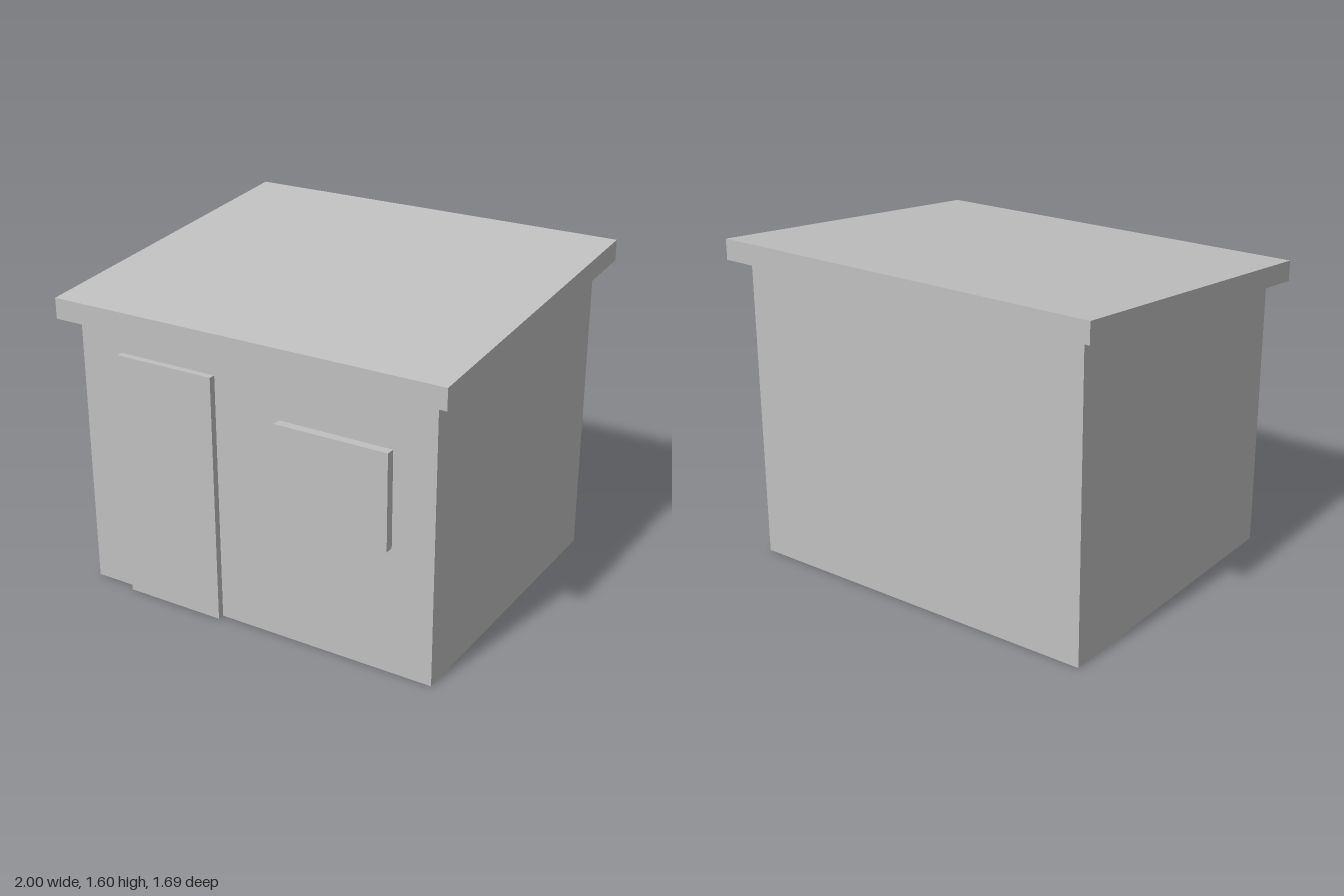
import * as THREE from 'three';

// Extrudes a side profile of [z, y] points across x, centred on x = 0
function sideExtrusion(points, width) {
  const shape = new THREE.Shape(points.map(([z, y]) => new THREE.Vector2(z, y)));
  const geometry = new THREE.ExtrudeGeometry(shape, { depth: width, bevelEnabled: false });
  return geometry.translate(0, 0, -width / 2).rotateY(-Math.PI / 2);
}

// Box given by its lower and upper limits on each axis
function boxBetween([x0, x1], [y0, y1], [z0, z1]) {
  return new THREE.BoxGeometry(x1 - x0, y1 - y0, z1 - z0)
    .translate((x0 + x1) / 2, (y0 + y1) / 2, (z0 + z1) / 2);
}

export function createModel() {
  const group = new THREE.Group();
  group.name = 'shed';
  const grey = new THREE.MeshStandardMaterial({ color: 0xc0c0c0 });
  grey.name = 'light grey';

  const add = (name, geometry) => {
    const mesh = new THREE.Mesh(geometry, grey);
    mesh.name = name;
    group.add(mesh);
  };

  const wallZ = 0.767, roofZ = 0.845;
  const roofUnderside = (z) => 1.42 - 0.0888 * z;
  const roofThickness = 0.1;

  // Walls, with tops following the roof slope
  add('walls', sideExtrusion([
    [-wallZ, 0], [wallZ, 0],
    [wallZ, roofUnderside(wallZ)], [-wallZ, roofUnderside(-wallZ)],
  ], 1.845));

  // Sloping slab roof with upright edges
  add('roof', sideExtrusion([
    [-roofZ, roofUnderside(-roofZ)], [roofZ, roofUnderside(roofZ)],
    [roofZ, roofUnderside(roofZ) + roofThickness],
    [-roofZ, roofUnderside(-roofZ) + roofThickness],
  ], 2));

  // Raised panels on the front wall
  add('door', boxBetween([-0.695, -0.182], [0, 1.215], [wallZ, 0.8]));
  add('window', boxBetween([0.155, 0.717], [0.62, 1.08], [wallZ, 0.81]));

  return group;
}
